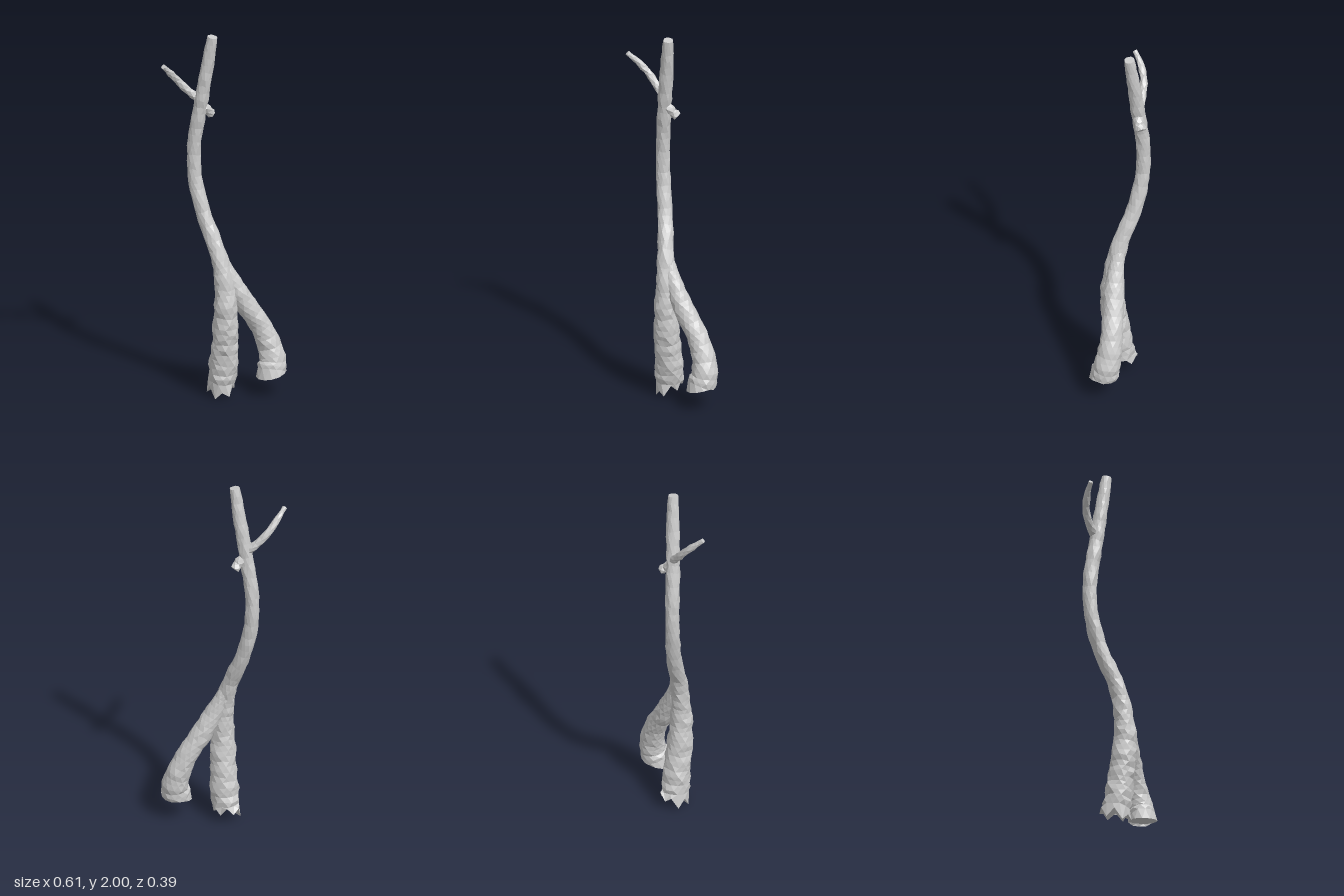
import * as THREE from 'three';

const bark = new THREE.MeshStandardMaterial({ color: 0xcccccc, flatShading: true, side: THREE.DoubleSide });

// Small seeded random source for uneven bark
function seeded(seed) {
  return () => {
    seed = (seed * 16807) % 2147483647;
    return seed / 2147483647;
  };
}

// Sweep an uneven round section along points [x, y, z, radius], closed at both ends.
// shapeStart may move the corners of the first ring.
function limb(name, pts, rings, sides, rough, seed, shapeStart) {
  const rand = seeded(seed);
  const curve = new THREE.CatmullRomCurve3(pts.map(p => new THREE.Vector3(p[0], p[1], p[2])));
  const radiusAt = t => {
    const f = t * (pts.length - 1), i = Math.min(Math.floor(f), pts.length - 2);
    return THREE.MathUtils.lerp(pts[i][3], pts[i + 1][3], f - i);
  };
  const pos = [], index = [];
  for (let i = 0; i <= rings; i++) {
    const t = i / rings, c = curve.getPoint(t), tan = curve.getTangent(t);
    const u = new THREE.Vector3().crossVectors(tan, new THREE.Vector3(0, 0, 1)).normalize();
    const v = new THREE.Vector3().crossVectors(u, tan);
    const ringScale = 1 + (rand() - 0.5) * rough * 0.6;
    for (let j = 0; j < sides; j++) {
      const a = (j + 0.5 * (i % 2)) / sides * Math.PI * 2;
      const r = radiusAt(t) * ringScale * (1 + (rand() - 0.5) * rough);
      const p = c.clone().addScaledVector(u, Math.cos(a) * r).addScaledVector(v, Math.sin(a) * r);
      if (i > 0 && i < rings) p.addScaledVector(tan, (rand() - 0.5) * rough * 0.08);
      if (i === 0 && shapeStart) shapeStart(p, j);
      pos.push(p.x, p.y, p.z);
    }
  }
  // Side faces, staggered between rings
  for (let i = 0; i < rings; i++) {
    for (let j = 0; j < sides; j++) {
      const k = (j + 1) % sides, o = i * sides, q = o + sides;
      if (i % 2) index.push(o + j, q + k, o + k, o + j, q + j, q + k);
      else index.push(o + j, q + j, o + k, o + k, q + j, q + k);
    }
  }
  // End faces
  const first = pos.length / 3, last = rings * sides;
  for (const t of [0, 1]) pos.push(...curve.getPoint(t).toArray());
  for (let j = 0; j < sides; j++) {
    const k = (j + 1) % sides;
    index.push(first, j, k, first + 1, last + k, last + j);
  }
  const g = new THREE.BufferGeometry();
  g.setAttribute('position', new THREE.Float32BufferAttribute(pos, 3));
  // The sweep runs clockwise about its axis, so flip the winding to face outwards
  const a = new THREE.Vector3().fromArray(pos, 0), b = new THREE.Vector3().fromArray(pos, index[1] * 3);
  const d = new THREE.Vector3().fromArray(pos, index[2] * 3);
  const normal = b.sub(a).cross(d.sub(a));
  if (normal.dot(a.clone().sub(curve.getPoint(0))) < 0) {
    for (let i = 0; i < index.length; i += 3) [index[i + 1], index[i + 2]] = [index[i + 2], index[i + 1]];
  }
  g.setIndex(index);
  g.computeVertexNormals();
  const mesh = new THREE.Mesh(g, bark);
  mesh.name = name;
  return mesh;
}

export function createModel() {
  const tree = new THREE.Group();
  tree.name = 'tree';

  // Main trunk with a torn, splayed foot
  const tear = [0.04, -0.02, 0.03, -0.01, 0.02, -0.03];
  tree.add(limb('trunk', [
    [-0.01, 0.06, -0.02, 0.073],
    [-0.005, 0.2, 0.0, 0.074],
    [-0.01, 0.35, 0.018, 0.069],
    [-0.012, 0.5, 0.03, 0.062],
    [-0.016, 0.65, 0.018, 0.05],
    [-0.03, 0.8, -0.018, 0.043],
    [-0.066, 1.0, -0.103, 0.041],
    [-0.092, 1.2, -0.148, 0.038],
    [-0.094, 1.4, -0.151, 0.038],
    [-0.076, 1.6, -0.122, 0.037],
    [-0.055, 1.8, -0.096, 0.035],
    [-0.034, 2.0, -0.067, 0.028],
  ], 56, 12, 0.14, 11, (p, j) => {
    p.y = Math.max(0, 0.045 + p.x * 0.35 - p.z * 0.3 + tear[j % 6]);
    p.z = -0.025 + (p.z + 0.02) * 1.22;
  }));

  // Second stem, leaning out and joining the trunk
  tree.add(limb('sideStem', [
    [0.217, 0.12, 0.115, 0.082],
    [0.233, 0.2, 0.1, 0.07],
    [0.215, 0.3, 0.078, 0.062],
    [0.172, 0.4, 0.06, 0.058],
    [0.108, 0.5, 0.043, 0.056],
    [0.055, 0.6, 0.028, 0.052],
    [0.012, 0.7, 0.008, 0.04],
    [-0.018, 0.78, -0.012, 0.03],
  ], 26, 12, 0.1, 29, p => {
    p.y = 0.12 + (p.x - 0.217) * 0.24;
  }));

  // Thin upper branch
  tree.add(limb('branch', [
    [-0.075, 1.64, -0.125, 0.025],
    [-0.12, 1.68, -0.15, 0.021],
    [-0.18, 1.745, -0.17, 0.02],
    [-0.24, 1.81, -0.163, 0.018],
    [-0.293, 1.86, -0.142, 0.012],
  ], 11, 6, 0.2, 47));

  // Broken twig stub
  tree.add(limb('stub', [
    [-0.06, 1.6, -0.12, 0.03],
    [-0.03, 1.57, -0.12, 0.025],
    [-0.005, 1.547, -0.125, 0.026],
  ], 4, 6, 0.3, 83));

  return tree;
}
